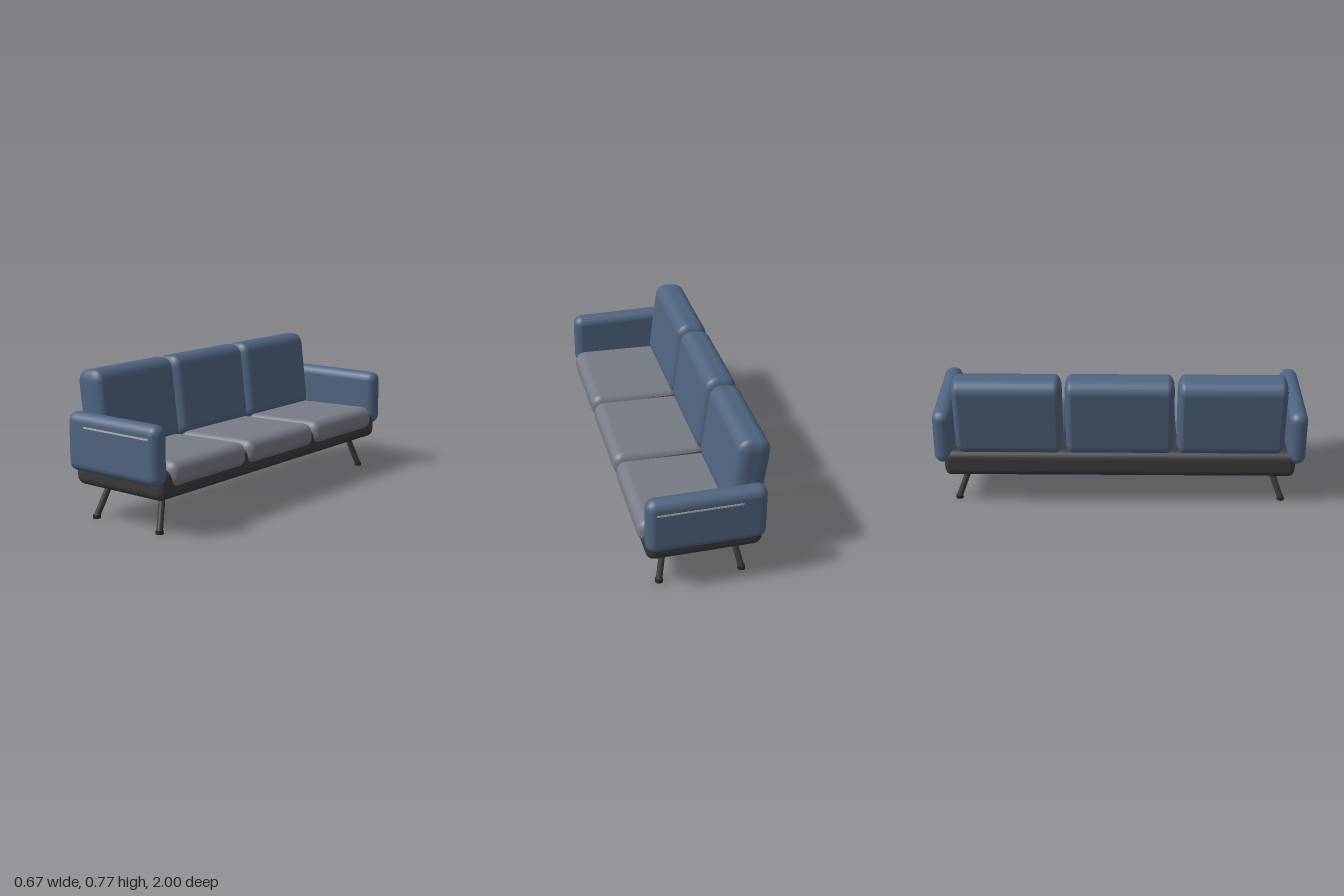
import * as THREE from 'three';
import { RoundedBoxGeometry } from 'three/addons/geometries/RoundedBoxGeometry.js';

const material = (color) => new THREE.MeshStandardMaterial({ color });

export function createModel() {
  const sofa = new THREE.Group();
  sofa.name = 'sofa';
  const blue = material(0x4f6480);
  const grey = material(0x777b85);
  const dark = material(0x3b3b3d);
  const black = material(0x242426);
  const trim = material(0xb4b4b0);

  const add = (name, geometry, mat, x, y, z) => {
    const mesh = new THREE.Mesh(geometry, mat);
    mesh.name = name;
    mesh.position.set(x, y, z);
    sofa.add(mesh);
    return mesh;
  };

  // Rounded block whose corner radius along z is squeezed by a factor
  const pad = (w, h, d, radius, squeeze = 1) =>
    new RoundedBoxGeometry(w, h, d / squeeze, 3, radius).scale(1, 1, squeeze);

  // Long upholstered base
  add('base', pad(0.6, 0.15, 1.89, 0.045, 0.7), dark, 0.01, 0.256, 0);

  // Three seat and back cushions
  for (const i of [-1, 0, 1]) {
    const z = i * 0.592;
    const seat = add('seatCushion', pad(0.51, 0.13, 0.576, 0.055, 0.75), grey, 0.08, 0.3, z);
    seat.rotation.z = 0.03;
    const back = add('backCushion', pad(0.17, 0.45, 0.576, 0.065, 0.6), blue, -0.231, 0.54, z);
    back.rotation.z = 0.122;
  }

  for (const s of [-1, 1]) {
    // Arm with a thin trim strip on its outer face
    add('armrest', pad(0.615, 0.306, 0.1, 0.049), blue, 0.0125, 0.412, s * 0.947);
    add('armTrim', new THREE.BoxGeometry(0.435, 0.009, 0.008), trim, 0.054, 0.499, s * 0.996);

    // Splayed legs with feet
    for (const [topX, footX] of [[-0.157, -0.2], [0.193, 0.235]]) {
      const top = new THREE.Vector3(topX, 0.2, s * 0.813);
      const foot = new THREE.Vector3(footX, 0.01, s * 0.885);
      const axis = top.clone().sub(foot);
      const mid = top.clone().add(foot).multiplyScalar(0.5);
      const leg = add('leg', new THREE.CylinderGeometry(0.0165, 0.0165, axis.length(), 16), dark, mid.x, mid.y, mid.z);
      leg.quaternion.setFromUnitVectors(new THREE.Vector3(0, 1, 0), axis.normalize());
      add('foot', new THREE.CylinderGeometry(0.019, 0.021, 0.018, 16), black, foot.x, 0.009, foot.z);
    }
  }
  return sofa;
}
